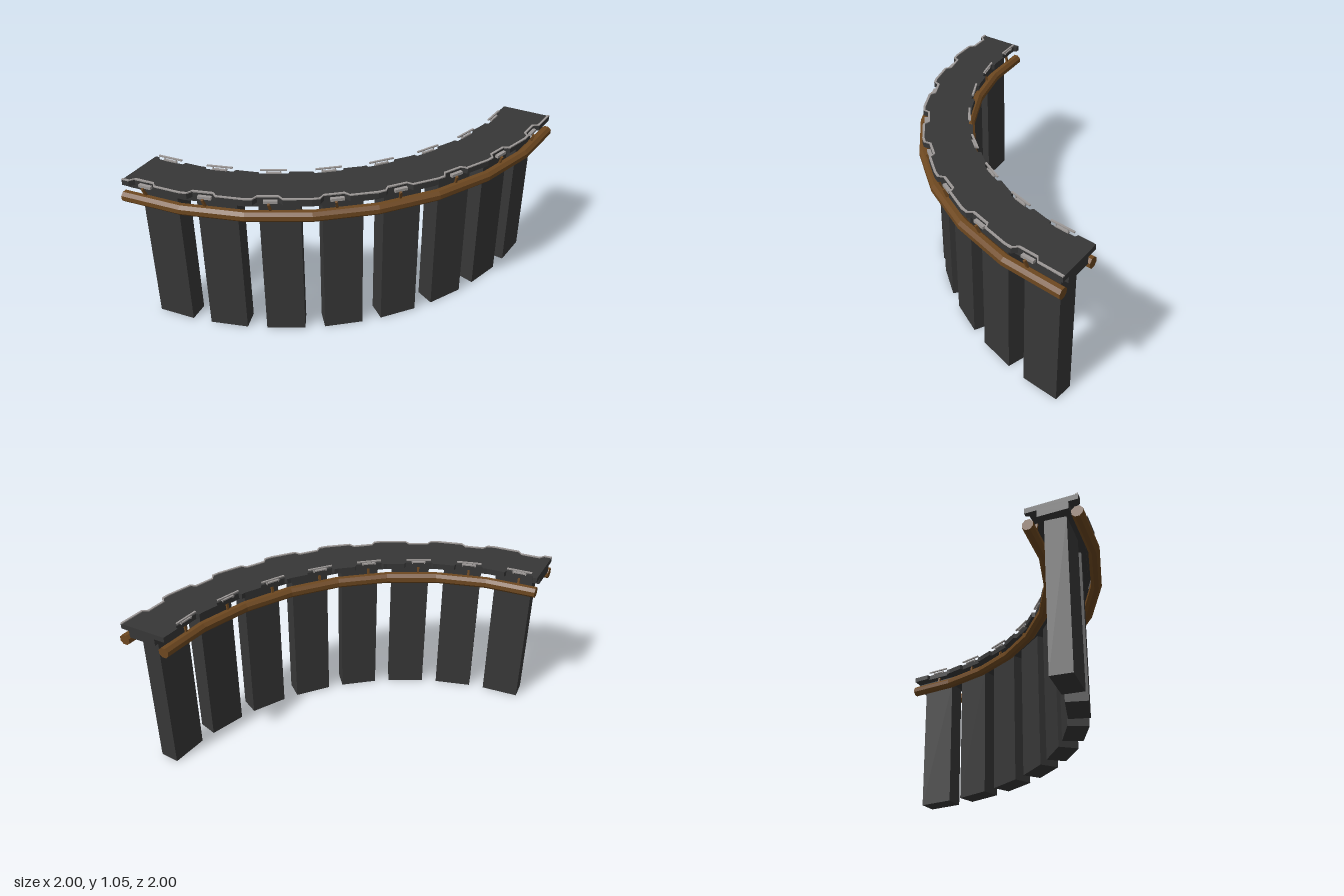
import * as THREE from 'three';

const SEGMENTS = 8;
const STEP = Math.PI / 2 / SEGMENTS;
const TAN = Math.tan(STEP / 2);

const material = (name, color) =>
  new THREE.MeshStandardMaterial({ name, color, flatShading: true });

// Extrudes a plan outline of [tangent, radius] points between two heights
function slab(points, bottom, top) {
  const shape = new THREE.Shape(points.map(([x, z]) => new THREE.Vector2(x, z)));
  const g = new THREE.ExtrudeGeometry(shape, { depth: top - bottom, bevelEnabled: false });
  return g.rotateX(Math.PI / 2).translate(0, top, 0);
}

const wedge = (r0, r1) => [[-r0 * TAN, r0], [r0 * TAN, r0], [r1 * TAN, r1], [-r1 * TAN, r1]];

// Edge of one deck bay with a sloped notch, from -x to +x
const notchedEdge = (r, depth, centre, half, slope) => [
  [-r * TAN, r],
  [centre - half - slope, r],
  [centre - half, r + depth],
  [centre + half, r + depth],
  [centre + half + slope, r],
  [r * TAN, r],
];

const box = (w, h, d, x, y, z) => new THREE.BoxGeometry(w, h, d).translate(x, y, z);

// Straight octagonal pipe whose ends are mitred to meet the next bay
function pipe(radius, height) {
  const g = new THREE.CylinderGeometry(0.0357, 0.0357, 2, 8);
  g.rotateY(Math.PI / 8).rotateZ(Math.PI / 2).translate(0, height, radius);
  const p = g.attributes.position;
  for (let i = 0; i < p.count; i++) p.setX(i, Math.sign(p.getX(i)) * p.getZ(i) * TAN);
  return g;
}

// Thin square strut between two points
function strut(a, b, size) {
  const dir = b.clone().sub(a);
  const g = new THREE.BoxGeometry(size, dir.length(), size);
  g.applyQuaternion(new THREE.Quaternion().setFromUnitVectors(
    new THREE.Vector3(0, 1, 0), dir.normalize()));
  const mid = a.clone().add(b).multiplyScalar(0.5);
  return g.translate(mid.x, mid.y, mid.z);
}

export function createModel() {
  const stone = material('dark stone', 0x373737);
  const brown = material('brown pipe', 0x6e4820);
  const grey = material('pale metal', 0x9c9896);

  const outerEdge = notchedEdge(1.966, -0.03, -0.06, 0.062, 0.025);
  const innerEdge = notchedEdge(1.652, 0.022, -0.044, 0.085, 0.008);
  const V = (x, y, z) => new THREE.Vector3(x, y, z);

  const parts = [
    // supports and roadway
    ['pillar', box(0.244, 0.947, 0.13, 0, 0.4735, 1.817), stone],
    ['underBeam', slab(wedge(1.725, 1.91), 0.945, 0.992), stone],
    ['deck', slab([...innerEdge, ...outerEdge.slice().reverse()], 0.99, 1.024), stone],
    // pale strip following the outer deck edge
    ['edgeTrim', slab([
      ...outerEdge.map(([x, z]) => [x, z - 0.014]),
      ...outerEdge.slice().reverse(),
    ], 1.022, 1.03), grey],
    // pipes along both sides with their struts
    ['outerPipe', pipe(1.957, 0.912), brown],
    ['innerPipe', pipe(1.67, 0.912), brown],
    ['outerStrut', strut(V(-0.045, 0.935, 1.945), V(-0.055, 0.995, 1.966), 0.014), brown],
    ['innerStrut', strut(V(-0.044, 0.935, 1.68), V(-0.044, 0.995, 1.69), 0.014), brown],
    // outer plate set in the notch
    ['outerPlate', box(0.082, 0.018, 0.022, -0.045, 1.002, 1.947), grey],
    // low rail over the inner notch
    ['innerRail', box(0.16, 0.008, 0.012, -0.044, 1.046, 1.668), grey],
    ['innerRailFoot', box(0.09, 0.008, 0.014, -0.044, 1.028, 1.672), grey],
  ];
  for (const x of [-0.084, -0.004]) {
    parts.push(['innerRailPost', box(0.006, 0.03, 0.006, x, 1.031, 1.671), grey]);
  }

  const model = new THREE.Group();
  model.name = 'curvedBridge';
  for (let k = 0; k < SEGMENTS; k++) {
    const bay = new THREE.Group();
    bay.name = 'bay' + (k + 1);
    for (const [name, geometry, mat] of parts) {
      const mesh = new THREE.Mesh(geometry, mat);
      mesh.name = name;
      bay.add(mesh);
    }
    bay.position.set(-1, 0, -1);
    bay.rotation.y = (k + 0.5) * STEP;
    model.add(bay);
  }
  return model;
}
